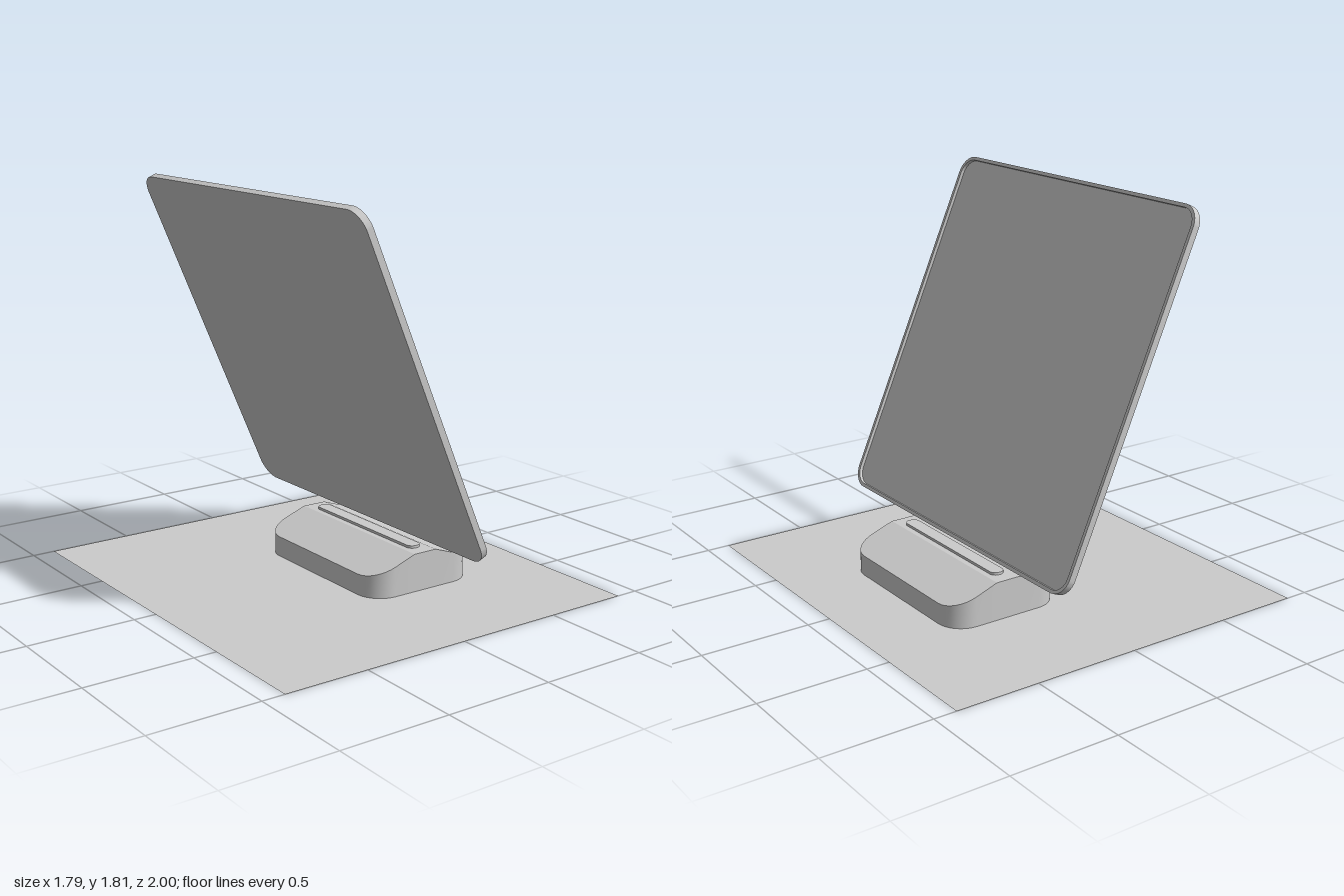
import * as THREE from 'three';
import { toCreasedNormals } from 'three/addons/utils/BufferGeometryUtils.js';

const grey = new THREE.MeshStandardMaterial({ color: 0xcccccc });

function addMesh(parent, name, geometry, material = grey) {
  const mesh = new THREE.Mesh(geometry, material);
  mesh.name = name;
  parent.add(mesh);
  return mesh;
}

// Rounded rectangle centred on the origin
function roundedRect(w, h, r, target = new THREE.Shape()) {
  const x = w / 2 - r, y = h / 2 - r;
  target.absarc(x, y, r, 0, Math.PI / 2);
  target.absarc(-x, y, r, Math.PI / 2, Math.PI);
  target.absarc(-x, -y, r, Math.PI, Math.PI * 1.5);
  target.absarc(x, -y, r, Math.PI * 1.5, Math.PI * 2);
  target.closePath();
  return target;
}

function slab(shape, depth) {
  const g = new THREE.ExtrudeGeometry(shape, { depth, bevelEnabled: false, curveSegments: 10 });
  return toCreasedNormals(g, 0.5);
}

// Base: rounded plan, flat ridge along z, slopes down on both sides
function baseGeometry() {
  const halfX = 0.287, halfZ = 0.434, r = 0.12, ridge = 0.06, steps = 8;
  const edgeY = 0.097, topY = 0.178;
  const half = [{ x: ridge, w: halfZ }];
  for (let i = 0; i <= steps; i++) {
    const a = (i / steps) * Math.PI / 2;
    half.push({ x: halfX - r + r * Math.sin(a), w: halfZ - r + r * Math.cos(a) });
  }
  const stations = [...half.map(s => ({ x: -s.x, w: s.w })).reverse(), ...half];
  const n = stations.length - 1;
  const g = new THREE.BoxGeometry(1, 1, 1, n, 1, 1);
  const p = g.attributes.position;
  for (let i = 0; i < p.count; i++) {
    const { x, w } = stations[Math.round((p.getX(i) + 0.5) * n)];
    const slope = Math.max(0, (Math.abs(x) - ridge) / (halfX - ridge));
    const top = topY + (edgeY - topY) * slope;
    p.setXYZ(i, x, p.getY(i) > 0 ? top : 0, Math.sign(p.getZ(i)) * w);
  }
  return toCreasedNormals(g, 0.3);
}

export function createModel() {
  const model = new THREE.Group();
  model.name = 'tiltedPanelOnDock';

  // Ground sheet
  const sheetMaterial = grey.clone();
  sheetMaterial.side = THREE.DoubleSide;
  const sheet = addMesh(model, 'groundSheet', new THREE.PlaneGeometry(1.79, 2), sheetMaterial);
  sheet.rotation.x = -Math.PI / 2;

  // Dock with its raised contact bar
  const dock = new THREE.Group();
  dock.name = 'dock';
  dock.position.x = 0.245;
  addMesh(dock, 'dockBase', baseGeometry());
  const bar = addMesh(dock, 'contactBar', slab(roundedRect(0.066, 0.74, 0.03), 0.03));
  bar.rotation.x = -Math.PI / 2;
  bar.position.y = 0.16;
  model.add(dock);

  // Leaning panel: back plate and a raised rim around the recessed face
  const size = 1.704, corner = 0.09, rimWidth = 0.016, half = 0.016;
  const panel = new THREE.Group();
  panel.name = 'panel';
  const plate = addMesh(panel, 'panelPlate', slab(roundedRect(size, size, corner), half));
  plate.position.z = -half;
  const rim = roundedRect(size, size, corner);
  const inner = size - 2 * rimWidth;
  rim.holes.push(roundedRect(inner, inner, corner - rimWidth, new THREE.Path()));
  addMesh(panel, 'panelRim', slab(rim, half));
  panel.rotation.set(0, Math.PI / 2, 0.41, 'ZYX');
  panel.position.set(-0.085, 1.02, 0);
  model.add(panel);

  return model;
}
